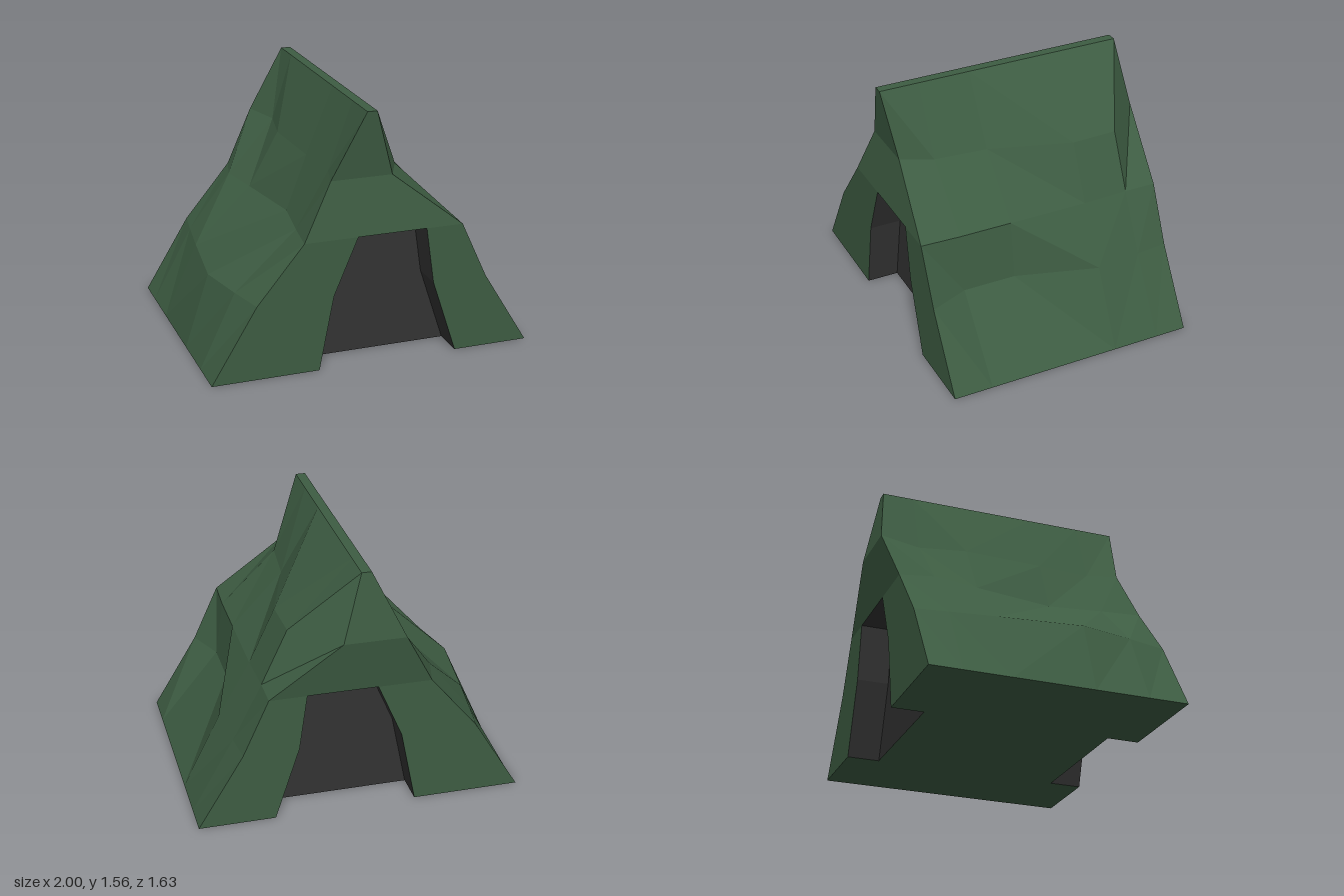
import * as THREE from 'three';

const RECESS = 0.2;

// Collects flat-shaded quads; corners run counter-clockwise, split along a-c
function quadBuilder() {
  const pos = [];
  return {
    quad(a, b, c, d) { pos.push(...a, ...b, ...c, ...a, ...c, ...d); },
    mesh(name, material) {
      const g = new THREE.BufferGeometry();
      g.setAttribute('position', new THREE.Float32BufferAttribute(pos, 3));
      g.computeVertexNormals();
      const m = new THREE.Mesh(g, material);
      m.name = name;
      return m;
    },
  };
}

// Levels of the slope, and for each station along z its x at those levels
const heights = [0, 0.46, 0.81, 1.15, 1.56];
const stations = [
  { z: -0.75, bulge: -0.065, left: [-1, -0.72, -0.43, -0.25, -0.05], right: [1, 0.72, 0.56, 0.13, 0.01] },
  { z: -0.55, bulge: 0, left: [-1, -0.75, -0.48, -0.18, -0.05], right: [1, 0.74, 0.56, 0.4, 0.01] },
  { z: -0.26, bulge: 0, left: [-1, -0.79, -0.43, -0.24, -0.05], right: [1, 0.77, 0.57, 0.41, 0.01] },
  { z: 0.24, bulge: 0, left: [-1, -0.85, -0.35, -0.22, -0.05], right: [1, 0.62, 0.57, 0.25, 0.01] },
  { z: 0.57, bulge: 0, left: [-1, -0.78, -0.4, -0.2, -0.05], right: [1, 0.62, 0.57, 0.22, 0.01] },
  { z: 0.815, bulge: -0.057, left: [-1, -0.72, -0.43, -0.25, -0.05], right: [1, 0.72, 0.56, 0.13, 0.01] },
];

// Opening outline, left foot over the top to right foot
const opening = [[-0.34, 0], [-0.25, 0.46], [-0.1, 0.81], [0.33, 0.81], [0.38, 0.46], [0.53, 0]];

export function createModel() {
  const group = new THREE.Group();
  const green = new THREE.MeshStandardMaterial({ color: 0x3d5c42, flatShading: true });
  const dark = new THREE.MeshStandardMaterial({ color: 0x333333, flatShading: true, side: THREE.DoubleSide });

  const rows = stations.map(({ z, bulge, left, right }) => {
    const point = (xs) => (y, k) => [xs[k], y, z + (k === 3 ? bulge : 0)];
    return [...heights.map(point(left)), ...heights.map(point(right)).reverse()];
  });

  // Slopes and ridge
  const slopes = quadBuilder();
  for (let s = 0; s < rows.length - 1; s++) {
    const b = rows[s], f = rows[s + 1];
    for (let j = 0; j < 9; j++) {
      const flip = (j < 5) === (s < 2);
      if (flip) slopes.quad(f[j], f[j + 1], b[j + 1], b[j]);
      else slopes.quad(b[j], f[j], f[j + 1], b[j + 1]);
    }
  }
  group.add(slopes.mesh('slopes', green));

  // End walls with their recessed tunnel mouths
  for (const front of [true, false]) {
    const row = front ? rows[rows.length - 1] : rows[0];
    const z = row[0][2];
    const zIn = z - (front ? RECESS : -RECESS);
    const wall = quadBuilder(), mouth = quadBuilder();
    const add = (a, b, c, d) => (front ? wall.quad(a, b, c, d) : wall.quad(a, d, c, b));
    const rim = opening.map(([x, y]) => [x, y, z]);
    const inner = opening.map(([x, y]) => [x, y, zIn]);
    const outer = [0, 1, 2, 7, 8, 9].map((i) => row[i]);
    for (const k of [0, 1, 3, 4]) add(outer[k], rim[k], rim[k + 1], outer[k + 1]);
    add(row[2], row[7], row[6], row[3]);
    add(row[3], row[6], row[5], row[4]);

    for (let k = 0; k < 5; k++) mouth.quad(rim[k], inner[k], inner[k + 1], rim[k + 1]);
    mouth.quad(inner[0], inner[5], inner[4], inner[1]);
    mouth.quad(inner[1], inner[4], inner[3], inner[2]);

    const side = front ? 'front' : 'back';
    group.add(wall.mesh(side + 'Wall', green), mouth.mesh(side + 'TunnelMouth', dark));
  }

  // Underside, notched at both tunnel mouths
  const base = quadBuilder();
  const zB = stations[0].z, zF = stations[stations.length - 1].z;
  const floor = (x0, x1, z0, z1) => base.quad([x0, 0, z0], [x1, 0, z0], [x1, 0, z1], [x0, 0, z1]);
  floor(-1, opening[0][0], zB, zF);
  floor(opening[0][0], opening[5][0], zB + RECESS, zF - RECESS);
  floor(opening[5][0], 1, zB, zF);
  group.add(base.mesh('underside', green));

  return group;
}
